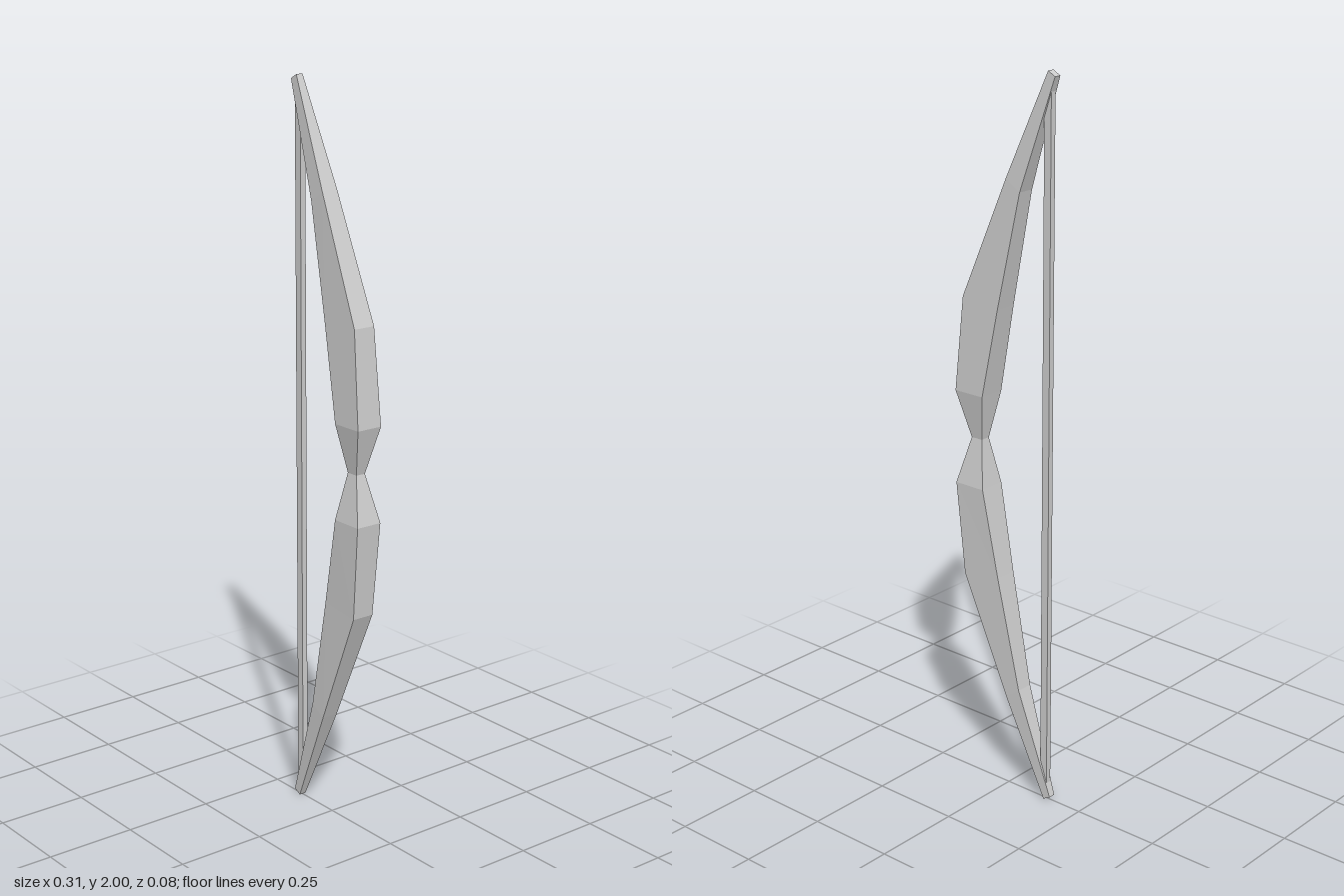
import * as THREE from 'three';

const grey = new THREE.MeshStandardMaterial({ color: 0xcccccc });
grey.name = 'grey';
grey.flatShading = true;

// Limb stations from grip to tip: inner x, inner y, outer x, outer y, half depth (y measured from the grip)
const STATIONS = [
  [0.083, 0, 0.118, 0, 0.014],
  [0.06, 0.13, 0.153, 0.13, 0.038],
  [0.012, 0.375, 0.13, 0.39, 0.032],
  [-0.055, 0.69, -0.01, 0.72, 0.024],
  [-0.155, 0.988, -0.133, 1.0, 0.01],
];

// Loft rectangular rings; side is +1 for the upper limb, -1 for the lower
function limbGeometry(side) {
  const positions = [];
  const index = [];
  for (const [ix, iy, ox, oy, h] of STATIONS) {
    positions.push(ix, 1 + side * iy, h, ox, 1 + side * oy, h);
    positions.push(ox, 1 + side * oy, -h, ix, 1 + side * iy, -h);
  }
  const quad = (a, b, c, d) =>
    side > 0 ? index.push(a, b, c, a, c, d) : index.push(a, c, b, a, d, c);
  for (let s = 0; s < STATIONS.length - 1; s++) {
    for (let k = 0; k < 4; k++) {
      const a = s * 4 + k;
      const b = s * 4 + ((k + 1) % 4);
      quad(a, b, b + 4, a + 4);
    }
  }
  const t = (STATIONS.length - 1) * 4;
  quad(t, t + 1, t + 2, t + 3); // tip cap
  const geometry = new THREE.BufferGeometry();
  geometry.setAttribute('position', new THREE.Float32BufferAttribute(positions, 3));
  geometry.setIndex(index);
  const flat = geometry.toNonIndexed();
  flat.computeVertexNormals();
  return flat;
}

export function createModel() {
  const bow = new THREE.Group();
  bow.name = 'bow';

  // Mirrored limbs meeting at the narrow grip
  for (const [name, side] of [['upperLimb', 1], ['lowerLimb', -1]]) {
    const limb = new THREE.Mesh(limbGeometry(side), grey);
    limb.name = name;
    bow.add(limb);
  }

  // Straight square string between the tips
  const string = new THREE.Mesh(new THREE.BoxGeometry(0.022, 1.92, 0.016), grey);
  string.name = 'string';
  string.position.set(-0.131, 1, 0);
  bow.add(string);

  return bow;
}
